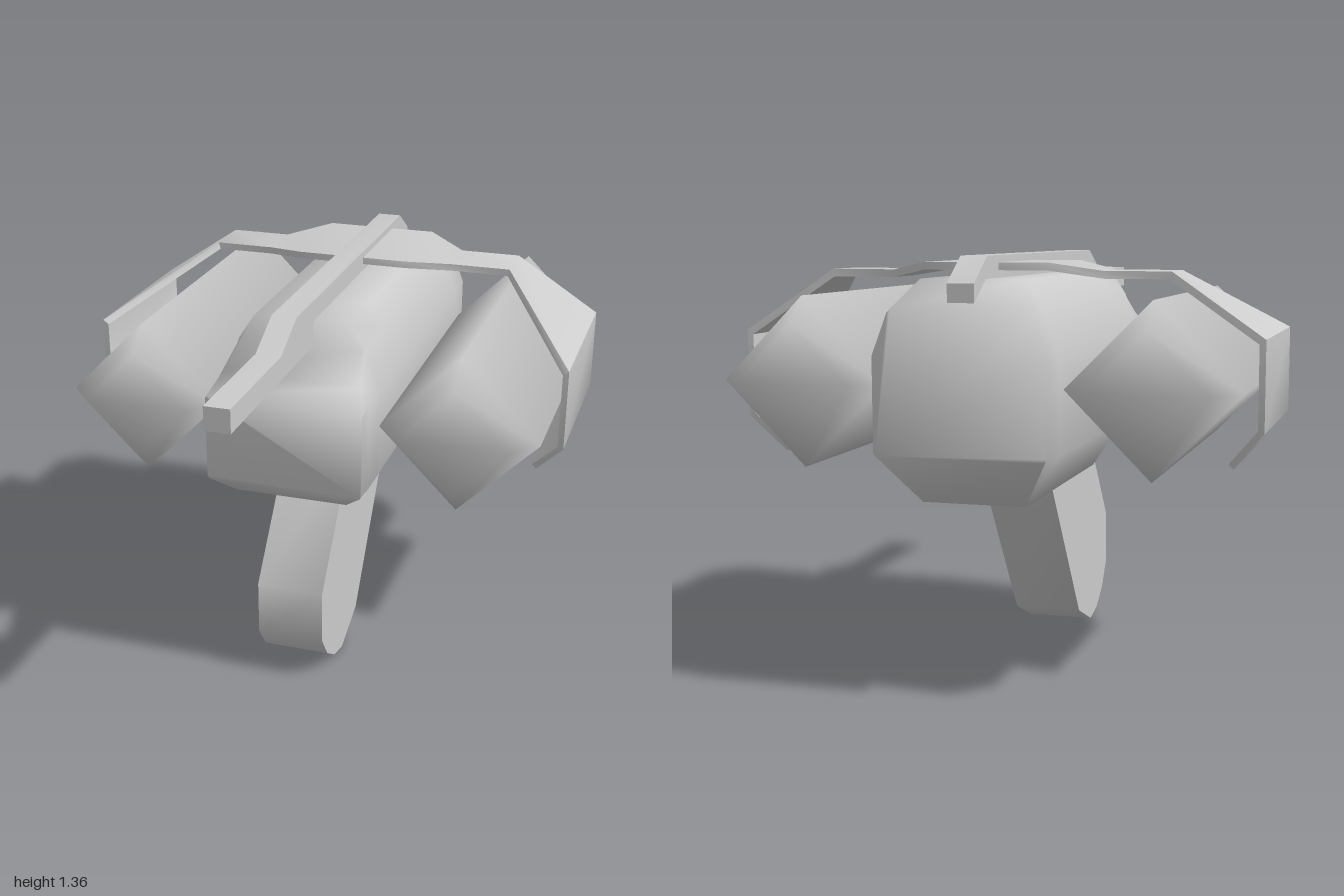
import * as THREE from 'three';
import { toCreasedNormals } from 'three/addons/utils/BufferGeometryUtils.js';

const material = new THREE.MeshStandardMaterial({ color: 0xcccccc });

function addMesh(group, name, geometry, crease) {
  const mesh = new THREE.Mesh(toCreasedNormals(geometry, crease), material);
  mesh.name = name;
  group.add(mesh);
  return mesh;
}

// Skin a row of equal-sized rings of [x, y, z] points and cap both ends.
function loft(rings) {
  const n = rings[0].length;
  const last = (rings.length - 1) * n;
  const index = [];
  for (let i = 0; i < rings.length - 1; i++) {
    for (let j = 0; j < n; j++) {
      const a = i * n + j, b = i * n + (j + 1) % n;
      index.push(a, b, b + n, a, b + n, a + n);
    }
  }
  for (let j = 1; j < n - 1; j++) {
    index.push(0, j + 1, j, last, last + j, last + j + 1);
  }
  const geometry = new THREE.BufferGeometry();
  geometry.setAttribute('position', new THREE.Float32BufferAttribute(rings.flat(2), 3));
  geometry.setIndex(index);
  return geometry;
}

// Extrude a [z, y] side profile across x, centred on x = 0.
function sideExtrude(profile, width) {
  const shape = new THREE.Shape(profile.map(([z, y]) => new THREE.Vector2(-z, y)));
  const geometry = new THREE.ExtrudeGeometry(shape, { depth: width, bevelEnabled: false });
  geometry.translate(0, 0, -width / 2);
  geometry.rotateY(Math.PI / 2);
  return geometry;
}

// Hull: each section is z, then half-outline points from bottom to top.
function hullGeometry() {
  const bottom = [0.165, 0.61], low = [0.27, 0.77], high = [0.27, 1.07];
  const shoulder = [0.22, 1.21], top = [0.165, 1.295];
  const sections = [
    [-1.0, [0.265, 0.77], [0.27, 0.78], high, [0.22, 1.2], [0.21, 1.21]],
    [-0.86, bottom, low, high, shoulder, top],
    [-0.02, bottom, low, high, shoulder, top],
    [0.24, [0.165, 0.67], low, high, shoulder, top],
    [0.25, [0.17, 0.673], low, high, [0.22, 1.2], [0.21, 1.21]],
    [0.36, [0.195, 0.7], low, high, [0.24, 1.12], [0.235, 1.13]],
    [0.44, [0.265, 0.77], [0.27, 0.78], [0.27, 1.06], [0.268, 1.065], [0.265, 1.07]],
  ];
  return loft(sections.map(([z, ...half]) => [
    ...half.map(([x, y]) => [x, y, z]),
    ...half.slice().reverse().map(([x, y]) => [-x, y, z]),
  ]));
}

// Pod: diamond section with tapered ends.
function podGeometry() {
  const stations = [[-0.96, 0.185], [-0.87, 0.268], [0.29, 0.268], [0.38, 0.185]];
  return loft(stations.map(([z, r]) => [[r, 0, z], [0, r, z], [-r, 0, z], [0, -r, z]]));
}

// Canopy strap: outer x, y, inner x, y, rear z, front z for one side.
function canopyGeometry() {
  const half = [
    [0.2, 1.342, 0.2, 1.318, -0.735, -0.335],
    [0.345, 1.315, 0.345, 1.291, -0.62, -0.44],
    [0.558, 1.315, 0.552, 1.291, -0.62, -0.44],
    [0.853, 1.115, 0.833, 1.1, -0.65, -0.02],
    [0.853, 0.83, 0.833, 0.838, -0.65, -0.02],
    [0.752, 0.708, 0.737, 0.724, -0.59, -0.1],
  ];
  const mirrored = half.slice().reverse().map(([a, b, c, d, e, f]) => [-a, b, -c, d, e, f]);
  return loft([...mirrored, ...half].map(([ox, oy, ix, iy, back, front]) =>
    [[ox, oy, back], [ox, oy, front], [ix, iy, front], [ix, iy, back]]));
}

export function createModel() {
  const model = new THREE.Group();
  model.name = 'model';

  addMesh(model, 'hull', hullGeometry(), 1.6);

  for (const side of [1, -1]) {
    const pod = addMesh(model, side > 0 ? 'leftPod' : 'rightPod', podGeometry(), 1.6);
    pod.position.set(side * 0.553, 0.972, 0);
  }

  addMesh(model, 'canopyStrap', canopyGeometry(), 0.7);

  // Slanted fin under the hull
  addMesh(model, 'lowerFin', sideExtrude([
    [0.06, 0.76], [0.385, 0.355], [0.385, 0.165], [0.325, 0.08], [0.24, 0.022],
    [0.145, 0], [-0.03, 0.075], [-0.46, 0.68],
  ], 0.235), 0.8);

  // Long barrel along the spine
  addMesh(model, 'barrel', sideExtrude([
    [1, 1.287], [0.565, 1.287], [0.41, 1.364], [-0.845, 1.364],
    [-0.97, 1.285], [-0.97, 1.21], [1, 1.21],
  ], 0.084), 0.7);

  return model;
}
